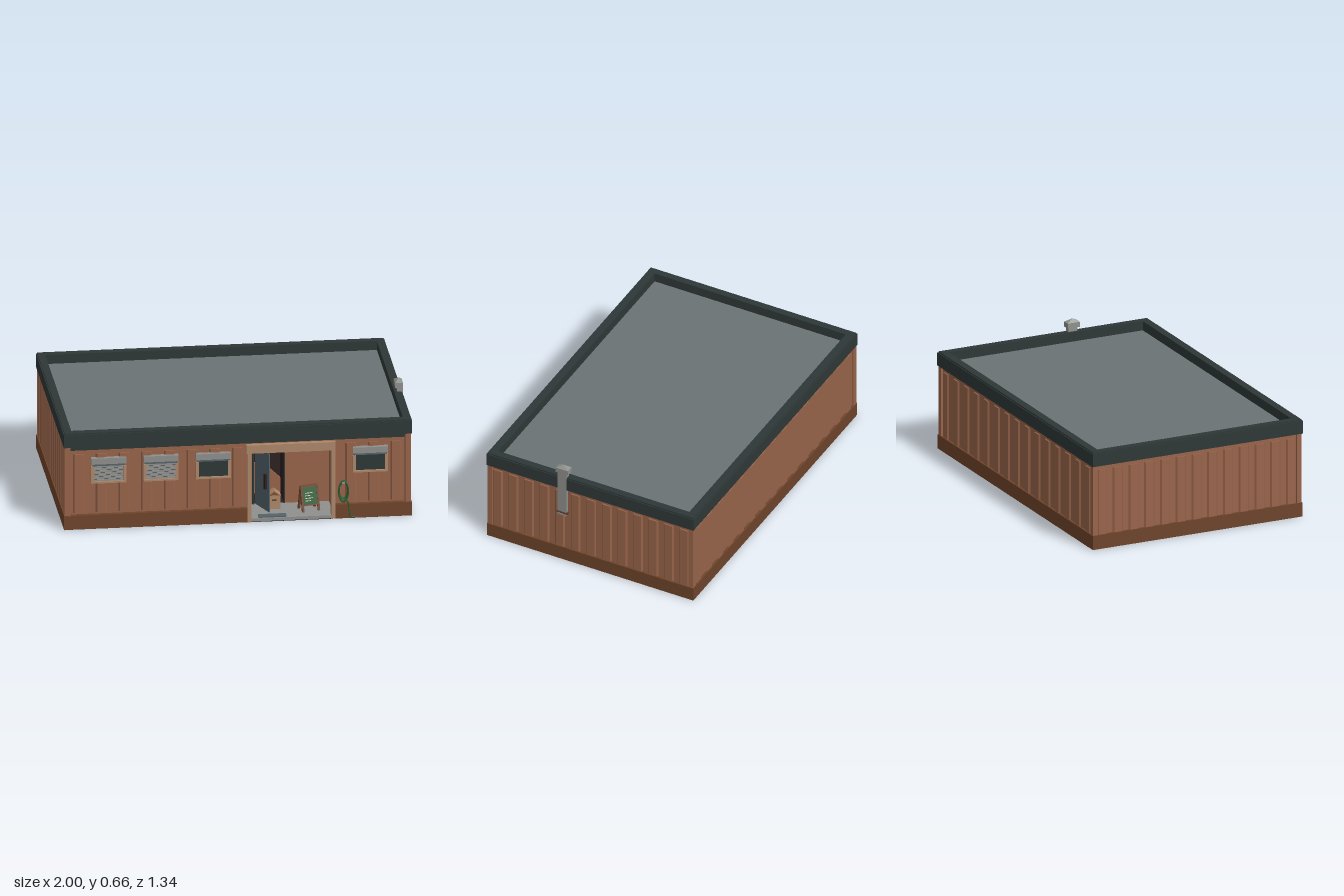
import * as THREE from 'three';

const mat = (name, color) => {
  const m = new THREE.MeshStandardMaterial({ color });
  m.name = name;
  return m;
};

export function createModel() {
  const M = {
    wall: mat('brownCladding', 0x98644a),
    plinth: mat('darkBrown', 0x6e442a),
    parapet: mat('darkSlate', 0x2e3837),
    deck: mat('roofGrey', 0x6a7375),
    tan: mat('tanTrim', 0xad876a),
    metal: mat('metalGrey', 0x8f918d),
    door: mat('doorBlueGrey', 0x54626a),
    dark: mat('darkInterior', 0x2c2020),
    green: mat('green', 0x2c5c30),
    white: mat('chalkWhite', 0xc9d0c4),
  };
  const root = new THREE.Group();
  root.name = 'building';
  const group = (name, parent = root) => {
    const g = new THREE.Group();
    g.name = name;
    parent.add(g);
    return g;
  };
  const add = (parent, name, geo, m) => {
    const mesh = new THREE.Mesh(geo, m);
    mesh.name = name;
    parent.add(mesh);
    return mesh;
  };
  // Box given by its limits along each axis
  const box = (parent, name, m, x0, x1, y0, y1, z0, z1) => {
    const b = add(parent, name, new THREE.BoxGeometry(x1 - x0, y1 - y0, z1 - z0), m);
    b.position.set((x0 + x1) / 2, (y0 + y1) / 2, (z0 + z1) / 2);
    return b;
  };
  const polygon = (P, pts) => new P(pts.map(p => new THREE.Vector2(...p)));

  // Wall blocks around the porch recess and the door opening
  const walls = group('walls');
  const X = 0.981, ZB = -0.65, ZF = 0.638, PL = 0.06, PR = 0.55, PZ = 0.43;
  const wall = (...a) => box(walls, 'wallBlock', M.wall, ...a);
  wall(-X, X, 0.002, 0.52, ZB, 0.25);
  wall(-X, 0.115, 0.002, 0.52, 0.25, PZ);
  wall(0.295, X, 0.002, 0.52, 0.25, PZ);
  wall(0.115, 0.295, 0.385, 0.52, 0.25, PZ);
  wall(-X, PL, 0.002, 0.52, PZ, ZF);
  wall(PR, X, 0.002, 0.52, PZ, ZF);
  wall(PL, PR, 0.42, 0.52, PZ, ZF);
  box(root, 'underside', M.dark, -0.99, 0.99, 0, 0.006, -0.66, 0.66);

  // Trapezoid cladding ribs, facing along the given angle
  const ribs = group('claddingRibs');
  const rib = (x, z, y0, y1, angle) => {
    const shape = polygon(THREE.Shape, [[-0.032, 0], [0.032, 0], [0.024, -0.009], [-0.024, -0.009]].reverse());
    const geo = new THREE.ExtrudeGeometry(shape, { depth: y1 - y0, bevelEnabled: false });
    geo.rotateX(-Math.PI / 2);
    const r = add(ribs, 'rib', geo, M.wall);
    r.position.set(x, y0, z);
    r.rotation.y = angle;
  };
  for (let i = 0; i < 13; i++)
    for (const s of [-1, 1]) rib(s * X, -0.6 + i * 0.1, 0.08, 0.475, s * Math.PI / 2);
  for (let i = 0; i < 15; i++) {
    const x = -0.91 + i * 0.13;
    rib(x, ZB, 0.08, 0.475, Math.PI);
    if (x < 0.02 || x > 0.59) rib(x, ZF, 0.095, 0.45, 0);
  }
  for (const sx of [-1, 1]) for (const sz of [-1, 1])
    box(walls, 'cornerPost', M.wall, sx * 0.976 - 0.017, sx * 0.976 + 0.017, 0.08, 0.5, sz * 0.647 - 0.015, sz * 0.647 + 0.015);

  // Plinth strips
  const plinth = group('plinth');
  for (const s of [-1, 1])
    box(plinth, 'sidePlinth', M.plinth, s * 0.981 - 0.015, s * 0.981 + 0.015, 0.001, 0.085, -0.665, 0.665);
  box(plinth, 'backPlinth', M.plinth, -0.98, 0.98, 0.001, 0.085, -0.665, -0.63);
  box(plinth, 'frontPlinthRight', M.plinth, -0.98, PL, 0.001, 0.085, 0.63, 0.662);
  box(plinth, 'frontPlinthLeft', M.plinth, PR, 0.98, 0.001, 0.085, 0.63, 0.662);

  // Flat roof with raised rim
  const roof = group('roof');
  const rect = (P, a, b) => polygon(P, [[-a, -b], [a, -b], [a, b], [-a, b]]);
  const rim = (name, x, z, y0, y1) => {
    const shape = rect(THREE.Shape, x, z);
    shape.holes.push(rect(THREE.Path, 0.95, 0.615));
    const geo = new THREE.ExtrudeGeometry(shape, { depth: y1 - y0, bevelEnabled: false });
    geo.rotateX(-Math.PI / 2).translate(0, y0, 0);
    add(roof, name, geo, M.parapet);
  };
  rim('parapet', 0.998, 0.667, 0.5, 0.577);
  rim('parapetCap', 0.992, 0.661, 0.577, 0.585);
  box(roof, 'roofDeck', M.deck, -0.952, 0.952, 0.51, 0.53, -0.617, 0.617);
  box(roof, 'frontFascia', M.parapet, -0.958, 0.958, 0.478, 0.502, 0.62, 0.655);

  // Windows with roller shutter boxes
  const addWindow = (x, closed) => {
    const w = group('window');
    w.position.x = x;
    box(w, 'glass', M.parapet, -0.085, 0.085, 0.285, 0.39, 0.63, 0.651);
    for (const s of [-1, 1])
      box(w, 'sideFrame', M.tan, s * 0.092 - 0.009, s * 0.092 + 0.009, 0.28, 0.378, 0.63, 0.66);
    box(w, 'sill', M.tan, -0.1, 0.1, 0.276, 0.286, 0.63, 0.664);
    box(w, 'shutterBox', M.metal, -0.1, 0.1, 0.392, 0.428, 0.63, 0.666);
    box(w, 'shutterLip', M.door, -0.095, 0.095, 0.38, 0.392, 0.63, 0.66);
    if (closed) for (let i = 0; i < 7; i++)
      box(w, 'slat', M.metal, -0.083, 0.083, 0.287 + i * 0.0135, 0.2975 + i * 0.0135, 0.645, 0.656);
  };
  addWindow(-0.74, true);
  addWindow(-0.44, true);
  addWindow(-0.14, false);
  addWindow(0.76, false);

  // Porch frame, slab and mat
  const porch = group('porch');
  box(porch, 'porchPost', M.tan, 0.054, 0.077, 0.001, 0.42, 0.625, 0.664);
  box(porch, 'porchPost', M.tan, 0.535, 0.558, 0.001, 0.42, 0.625, 0.664);
  box(porch, 'lintel', M.tan, 0.05, 0.56, 0.418, 0.468, 0.625, 0.666);
  box(porch, 'porchSlab', M.metal, 0.06, 0.55, 0.004, 0.022, 0.25, 0.662);
  box(porch, 'doormat', M.door, 0.12, 0.28, 0.022, 0.028, 0.61, 0.655);
  box(porch, 'wallLamp', M.metal, 0.06, 0.088, 0.355, 0.385, 0.53, 0.56);

  // Doorway lining, frame and leaf opened outwards
  const doorway = group('doorway');
  box(doorway, 'liningBack', M.dark, 0.115, 0.295, 0.022, 0.385, 0.25, 0.256);
  box(doorway, 'liningRight', M.dark, 0.115, 0.12, 0.022, 0.385, 0.25, 0.425);
  box(doorway, 'liningLeft', M.dark, 0.29, 0.295, 0.022, 0.385, 0.25, 0.425);
  box(doorway, 'liningTop', M.dark, 0.115, 0.295, 0.38, 0.385, 0.25, 0.425);
  box(doorway, 'liningFloor', M.dark, 0.115, 0.295, 0.02, 0.026, 0.25, 0.425);
  box(doorway, 'doorJamb', M.parapet, 0.11, 0.118, 0.022, 0.39, 0.42, 0.438);
  box(doorway, 'doorJamb', M.parapet, 0.29, 0.298, 0.022, 0.39, 0.42, 0.438);
  box(doorway, 'doorHead', M.parapet, 0.11, 0.298, 0.382, 0.39, 0.42, 0.438);
  const wedge = polygon(THREE.Shape, [[0.12, 0.026], [0.29, 0.026], [0.29, 0.115], [0.19, 0.212], [0.12, 0.212]]);
  const wedgeGeo = new THREE.ExtrudeGeometry(wedge, { depth: 0.02, bevelEnabled: false });
  add(doorway, 'interiorSlopedPanel', wedgeGeo, M.wall).position.z = 0.256;
  const leaf = group('doorLeaf', doorway);
  leaf.position.set(0.124, 0, 0.436);
  leaf.rotation.y = -1.18;
  box(leaf, 'doorPanel', M.door, 0, 0.165, 0.028, 0.38, -0.008, 0);
  box(leaf, 'doorHandle', M.dark, 0.125, 0.14, 0.16, 0.25, 0, 0.012);

  // Open cardboard box
  const carton = group('carton');
  carton.position.set(0.225, 0.022, 0.495);
  box(carton, 'cartonBody', M.tan, -0.035, 0.035, 0, 0.08, -0.03, 0.03);
  box(carton, 'cartonInside', M.plinth, -0.03, 0.03, 0.08, 0.082, -0.025, 0.025);
  for (const s of [-1, 1]) {
    const flap = box(carton, 'cartonFlap', M.tan, -0.023, 0.023, -0.002, 0.002, -0.03, 0.03);
    flap.position.set(s * 0.019, 0.094, 0);
    flap.rotation.z = -s * 0.65;
  }
  box(carton, 'cartonTape', M.plinth, -0.012, 0.012, 0.05, 0.06, 0.03, 0.032);

  // Folding chalkboard sign
  const sign = group('chalkboard');
  sign.position.set(0.42, 0.022, 0.55);
  sign.rotation.y = 0.25;
  for (const s of [1, -1]) {
    const side = group('signPanel', sign);
    side.rotation.y = s > 0 ? 0 : Math.PI;
    const p = group('leaningPanel', side);
    p.position.z = 0.035;
    p.rotation.x = -0.23;
    for (const x of [-0.048, 0.048])
      box(p, 'signLeg', M.plinth, x - 0.006, x + 0.006, 0, 0.15, -0.006, 0.006);
    box(p, 'signBoard', M.green, -0.043, 0.043, 0.04, 0.143, -0.004, 0.003);
    box(p, 'signTopRail', M.plinth, -0.05, 0.05, 0.141, 0.151, -0.006, 0.006);
    box(p, 'signBottomRail', M.plinth, -0.05, 0.05, 0.034, 0.042, -0.006, 0.006);
    if (s > 0) for (let i = 0; i < 4; i++)
      box(p, 'chalkLine', M.white, -0.03, 0.004 + (i % 2) * 0.012, 0.06 + i * 0.015, 0.064 + i * 0.015, 0.003, 0.005);
  }

  // Coiled garden hose with a trailing end
  const hose = group('gardenHose');
  for (let i = 0; i < 3; i++) {
    const coil = add(hose, 'hoseCoil', new THREE.TorusGeometry(0.025, 0.004, 6, 28), M.green);
    coil.scale.set(1 + i * 0.05, 2.1 + i * 0.12, 1);
    coil.position.set(0.606, 0.168 - i * 0.003, 0.65 + i * 0.004);
  }
  const tail = new THREE.CatmullRomCurve3([[0.615, 0.115, 0.656], [0.632, 0.095, 0.661],
    [0.638, 0.05, 0.664], [0.645, 0.015, 0.665], [0.672, 0.005, 0.665]].map(p => new THREE.Vector3(...p)));
  add(hose, 'hoseTail', new THREE.TubeGeometry(tail, 20, 0.0045, 6), M.green);
  box(hose, 'hoseHook', M.metal, 0.597, 0.615, 0.21, 0.222, 0.635, 0.662);

  // Flue on the side wall with pyramid cap
  const flue = group('flue');
  box(flue, 'flueDuct', M.metal, 0.967, 0.9995, 0.34, 0.615, 0.151, 0.209);
  box(flue, 'flueBracket', M.plinth, 0.96, 0.996, 0.324, 0.34, 0.143, 0.217);
  box(flue, 'flueElbow', M.metal, 0.96, 0.998, 0.313, 0.324, 0.152, 0.208);
  box(flue, 'flueCap', M.metal, 0.955, 1, 0.61, 0.64, 0.141, 0.219);
  const tip = new THREE.ConeGeometry(Math.SQRT1_2, 1, 4, 1).toNonIndexed();
  tip.rotateY(Math.PI / 4).scale(0.045, 0.02, 0.078);
  tip.computeVertexNormals();
  add(flue, 'flueCapTop', tip, M.metal).position.set(0.9775, 0.65, 0.18);

  return root;
}
